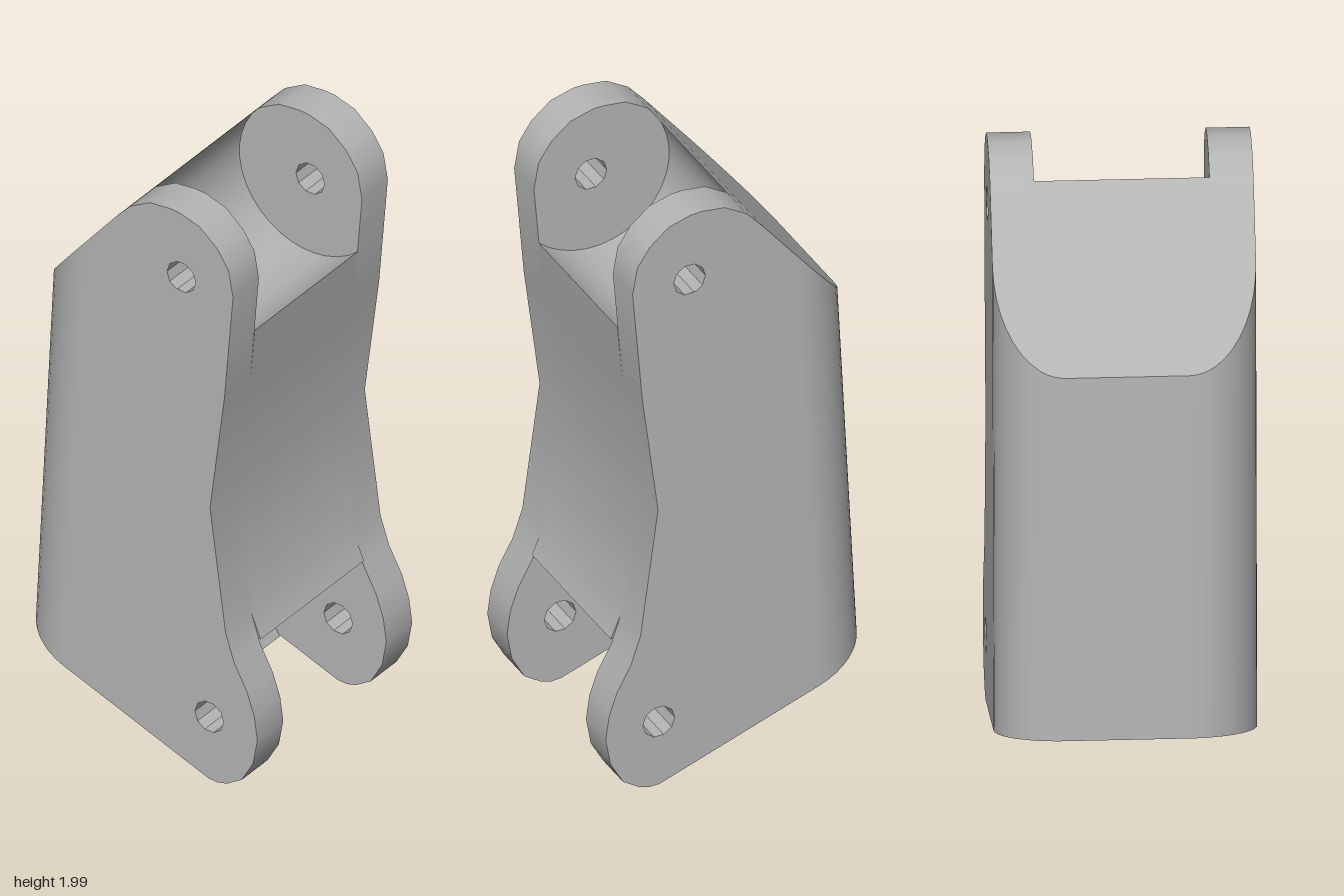
import * as THREE from 'three';
import { mergeGeometries, toCreasedNormals } from 'three/addons/utils/BufferGeometryUtils.js';

const HALF = 0.395;      // half thickness of the whole link
const SLOT = 0.263;      // half width of the clevis slots
const FILLET = 0.21;     // rounding of the two back edges
const SLOT_R = 0.262;    // radius of the slot floor
const TOP_PIN = [0.177, 1.77], LOW_PIN = [0.28, 0.23];
const BACK_LOW = [-0.463, 0.278], BACK_TOP = [-0.4, 1.49];

const vec = (list) => list.map(([x, y]) => new THREE.Vector2(x, y));

// points on a circle between two angles in degrees
function arc([cx, cy], r, from, to, n) {
  return Array.from({ length: n + 1 }, (_, i) => {
    const a = THREE.MathUtils.degToRad(from + (to - from) * i / n);
    return [cx + r * Math.cos(a), cy + r * Math.sin(a)];
  });
}

// concave front edge and sloped top edge shared by core and cheeks
const waist = [[0.341, 0.553], [0.283, 0.982], [0.336, 1.394]];
const slope = [[-0.066, 1.892], [-0.1, 1.851], BACK_TOP];

// full side outline with rounded lugs, and its pin holes
function cheekShape() {
  const shape = new THREE.Shape(vec([
    BACK_LOW, [0.22, 0.029], [0.278, 0.008], [0.31, 0.006], [0.345, 0.015], [0.4, 0.05],
    [0.442, 0.124], [0.458, 0.214], [0.447, 0.294], [0.42, 0.373], [0.373, 0.458],
    ...waist,
    [0.368, 1.77], [0.352, 1.86], [0.31, 1.923], [0.246, 1.976], [0.172, 1.998],
    [0.135, 2.0], [0.06, 1.992], [-0.013, 1.95], ...slope,
  ]));
  for (const pin of [TOP_PIN, LOW_PIN]) {
    shape.holes.push(new THREE.Path(vec(arc(pin, 0.053, 360, 36, 9))));
  }
  return shape;
}

// side outline with both lugs scooped out
function coreShape() {
  return new THREE.Shape(vec([
    BACK_LOW,
    ...arc(LOW_PIN, SLOT_R, 214.6, 68.7, 16),
    ...waist,
    ...arc(TOP_PIN, SLOT_R, -47.8, -223.8, 18),
    ...slope,
  ]));
}

// extrude a shape; angleAt(u) gives the signed position round the back fillet
function layered(shape, steps, angleAt) {
  const geo = new THREE.ExtrudeGeometry(shape, { depth: 1, steps, bevelEnabled: false });
  const p = geo.attributes.position;
  for (let i = 0; i < p.count; i++) {
    const { side, angle } = angleAt(p.getZ(i));
    const inset = FILLET * (1 - Math.cos(angle));
    const x = p.getX(i), y = p.getY(i);
    // slide the back corners along the top and bottom slopes
    if (Math.abs(x - BACK_LOW[0]) < 1e-3) p.setXY(i, x + 0.98 * inset, y - 0.357 * inset);
    else if (Math.abs(x - BACK_TOP[0]) < 1e-3) p.setXY(i, x + 1.065 * inset, y + 1.28 * inset);
    p.setZ(i, side * (HALF - FILLET + FILLET * Math.sin(angle)));
  }
  return geo;
}

export function createModel() {
  const group = new THREE.Group();
  group.name = 'clevisLink';
  const grey = new THREE.MeshStandardMaterial({ color: 0xb4b4b4 });
  grey.name = 'plain grey';

  const seam = Math.asin((SLOT - HALF + FILLET) / FILLET);
  const outer = (u) => seam + u * (Math.PI / 2 - seam);

  // core between the slots, then the front and back cheeks
  const parts = [
    layered(coreShape(), 9, (u) => ({
      side: u < 0.5 ? -1 : 1,
      angle: seam * THREE.MathUtils.clamp((Math.abs(u - 0.5) * 9 - 0.5) / 4, 0, 1),
    })),
    layered(cheekShape(), 8, (u) => ({ side: 1, angle: outer(u) })),
    layered(cheekShape(), 8, (u) => ({ side: -1, angle: outer(1 - u) })),
  ];

  // one merged body so the back fillets shade smoothly across the seams
  const merged = mergeGeometries(parts);
  merged.clearGroups();
  const body = new THREE.Mesh(toCreasedNormals(merged, 0.6), grey);
  body.name = 'linkBody';
  group.add(body);
  return group;
}
